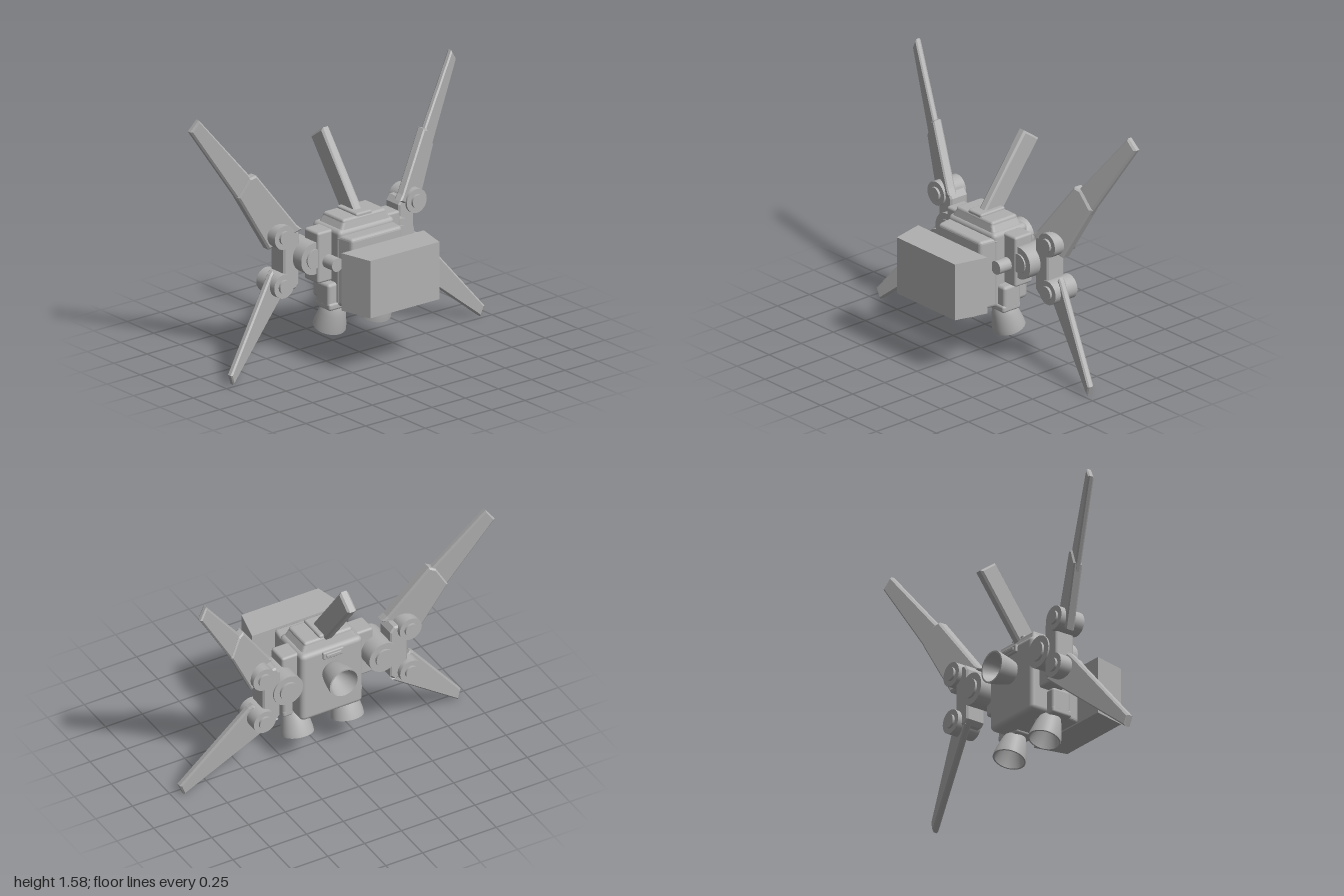
import * as THREE from 'three';
import { mergeVertices, toCreasedNormals } from 'three/addons/utils/BufferGeometryUtils.js';
import { RoundedBoxGeometry } from 'three/addons/geometries/RoundedBoxGeometry.js';

export function createModel() {
  const model = new THREE.Group();
  model.name = 'winged thruster pack';
  const grey = new THREE.MeshStandardMaterial({ color: 0xb0b0b0 });
  grey.name = 'grey';

  const add = (name, geo) => {
    const mesh = new THREE.Mesh(geo, grey);
    mesh.name = name;
    model.add(mesh);
  };
  // Adds a part on the +x side and its mirror image on the -x side
  const addPair = (name, geo) => {
    add('left ' + name, geo);
    const m = geo.index ? geo.clone() : mergeVertices(geo);
    m.scale(-1, 1, 1);
    const a = m.index.array;
    for (let i = 0; i < a.length; i += 3) [a[i], a[i + 1]] = [a[i + 1], a[i]];
    add('right ' + name, m);
  };
  // Rounded box given by its limits
  const box = (x0, x1, y0, y1, z0, z1, r = 0.015) =>
    new RoundedBoxGeometry(x1 - x0, y1 - y0, z1 - z0, 2, r)
      .translate((x0 + x1) / 2, (y0 + y1) / 2, (z0 + z1) / 2);
  // Bevelled plate, outline in x and y, centred on z = 0
  const plate = (pts, depth, bevel) => new THREE.ExtrudeGeometry(
    new THREE.Shape(pts.map(p => new THREE.Vector2(...p))),
    { depth: depth - 2 * bevel, bevelEnabled: bevel > 0, bevelThickness: bevel, bevelSize: bevel, bevelOffset: -bevel, bevelSegments: 1 },
  ).translate(0, 0, bevel - depth / 2);
  // Cylinder lying along z
  const drum = (x, y, z0, z1, r) => new THREE.CylinderGeometry(r, r, z1 - z0, 32)
    .rotateX(Math.PI / 2).translate(x, y, (z0 + z1) / 2);
  // Box narrowing toward +z and optionally toward +y
  const taper = (geo, rule) => {
    const p = geo.attributes.position, v = new THREE.Vector3();
    for (let i = 0; i < p.count; i++) {
      rule(v.fromBufferAttribute(p, i));
      p.setXYZ(i, v.x, v.y, v.z);
    }
    geo.computeVertexNormals();
    return geo;
  };
  const lerp = THREE.MathUtils.mapLinear;

  // Detached front block
  add('front block', taper(new THREE.BoxGeometry(0.62, 0.36, 0.21).translate(0, 0.58, 0.325),
    v => { if (v.z > 0.3) v.x *= 0.84; }));

  // Body
  add('core', box(-0.21, 0.21, 0.35, 0.83, -0.19, 0.08, 0.03));
  add('front panel', taper(box(-0.21, 0.21, 0.36, 0.8, 0.03, 0.17, 0.02),
    v => { v.x *= lerp(v.z, 0.03, 0.17, 1, 0.9); }));
  add('shoulder cap', taper(box(-0.21, 0.21, 0.76, 0.885, -0.17, 0.075, 0.02), v => {
    if (v.y > 0.84) { v.x *= 0.78; v.z = -0.035 + (v.z + 0.035) * 0.82; }
  }));
  add('back vent frame', box(-0.07, 0.07, 0.765, 0.815, -0.205, -0.17, 0.008));
  add('back vent slot', box(-0.05, 0.05, 0.78, 0.8, -0.212, -0.18, 0.004));

  // Leaning top fin and its collar
  add('fin collar', box(-0.06, 0.06, 0.86, 0.9, -0.14, 0.05, 0.012));
  add('top fin', plate([[0.02, 0.86], [-0.32, 1.325], [-0.43, 1.245], [-0.145, 0.86]], 0.06, 0.012)
    .rotateY(-Math.PI / 2));

  // Hollow thruster bell, opening at y = 0 facing down
  const bell = () => toCreasedNormals(new THREE.LatheGeometry(
    [[0, 0.13], [0.045, 0.13], [0.075, 0.06], [0.09, 0], [0.1, 0], [0.097, 0.03], [0.08, 0.11], [0.062, 0.165], [0.05, 0.18], [0, 0.18]]
      .map(p => new THREE.Vector2(...p)), 32), 0.7);
  add('back thruster', bell().rotateX(Math.PI / 2).translate(0, 0.655, -0.33));
  addPair('lower thruster', bell().rotateX(0.29).translate(0.17, 0.19, -0.07));
  addPair('thruster mount', box(0.08, 0.27, 0.335, 0.38, -0.08, 0.06));

  // Side pylons and small fittings
  addPair('pylon', box(0.19, 0.31, 0.5, 0.82, -0.135, 0));
  addPair('lower side box', box(0.19, 0.27, 0.35, 0.5, -0.08, 0.05, 0.02));
  addPair('side canister', drum(0.235, 0.63, -0.01, 0.09, 0.042));

  // Main hinge and the bracket that carries the wings
  addPair('main hinge', drum(0.325, 0.66, -0.235, -0.015, 0.1));
  addPair('main hinge cap', drum(0.325, 0.66, -0.25, -0.005, 0.06));
  addPair('bracket', plate([[0.375, 0.49], [0.4, 0.465], [0.47, 0.465], [0.49, 0.49], [0.49, 0.81],
    [0.47, 0.845], [0.4, 0.845], [0.375, 0.81]], 0.13, 0.01).translate(0, 0, -0.16));
  for (const [name, y, z] of [['upper', 0.813, -0.165], ['lower', 0.505, -0.17]]) {
    addPair(name + ' wing hinge', drum(0.497, y, z - 0.085, z + 0.085, 0.075));
    addPair(name + ' wing hinge cap', drum(0.497, y, z - 0.1, z + 0.1, 0.042));
  }

  // Wings: flat plates swept in z as they go outward
  const wing = (pts, depth, x0, z0, slope) => taper(plate(pts, depth, 0.01),
    v => { v.z += z0 + (v.x - x0) * slope; });
  addPair('upper wing root', wing([[0.37, 0.84], [0.4, 0.87], [0.63, 1.205], [0.67, 1.19], [0.735, 1.075],
    [0.56, 0.73], [0.52, 0.75]], 0.065, 0.4, -0.115, -0.4));
  addPair('upper wing blade', wing([[0.55, 0.95], [0.62, 1.15], [0.95, 1.585], [1, 1.515], [0.7, 1.01]],
    0.042, 0.4, -0.115, -0.4));
  addPair('lower wing', wing([[0.385, 0.465], [0.45, 0.5], [0.535, 0.595], [0.56, 0.575], [0.955, 0.07], [0.93, 0.005]],
    0.045, 0.55, -0.155, 0.31));

  return model;
}
